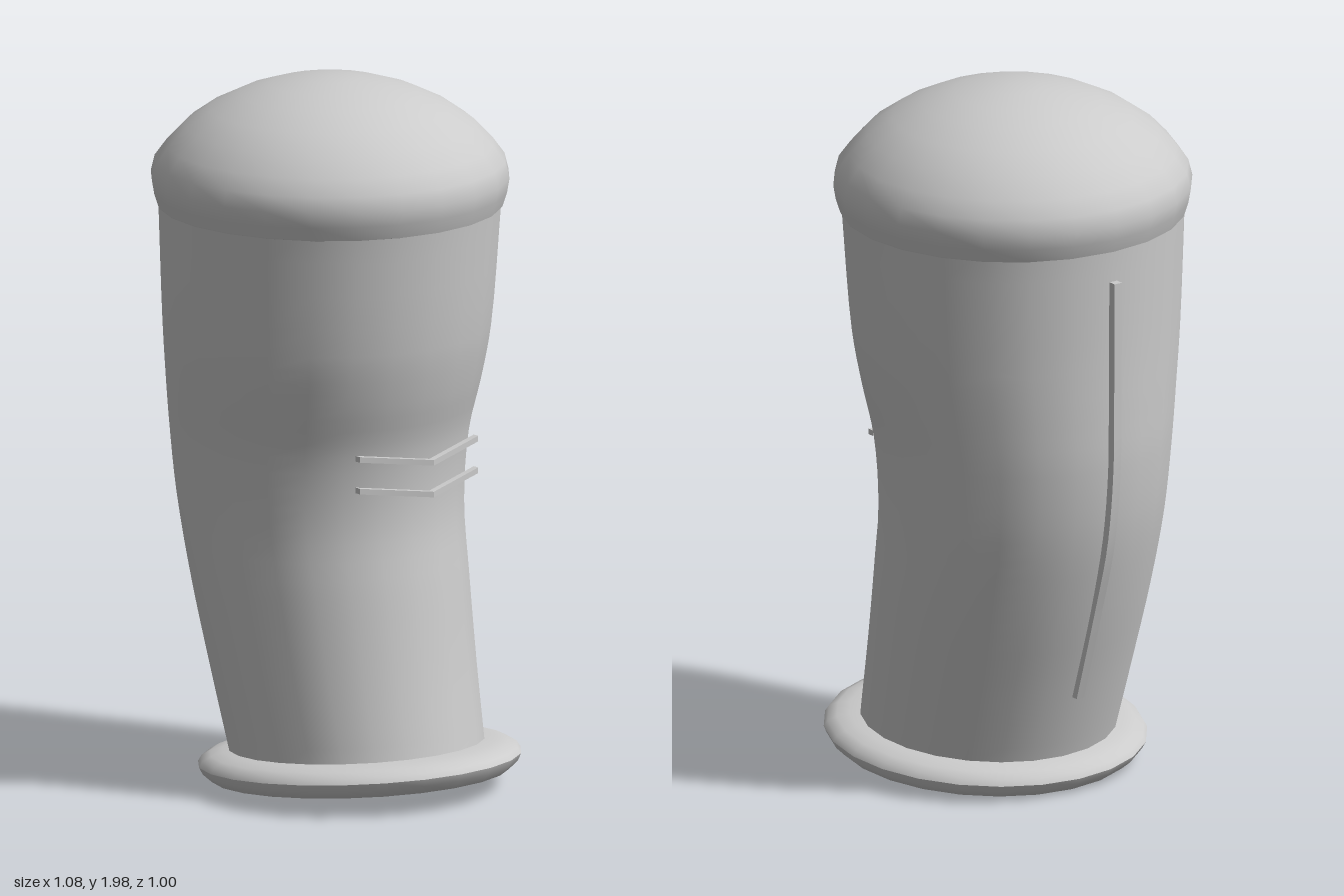
import * as THREE from 'three';
import { toCreasedNormals } from 'three/addons/utils/BufferGeometryUtils.js';

const V = (x, y, z) => new THREE.Vector3(x, y, z);
const SIDES = 24;

// Joins equal-length rings of points into a skin, optionally closing both ends
function skin(rings, caps = false) {
  const n = rings[0].length;
  const last = (rings.length - 1) * n;
  const index = [];
  for (let r = 0; r < rings.length - 1; r++) {
    for (let i = 0; i < n; i++) {
      const a = r * n + i, c = r * n + (i + 1) % n;
      index.push(a, a + n, c, c, a + n, c + n);
    }
  }
  if (caps) {
    for (let i = 1; i < n - 1; i++) {
      index.push(0, i, i + 1, last, last + i + 1, last + i);
    }
  }
  const geometry = new THREE.BufferGeometry().setFromPoints(rings.flat());
  geometry.setIndex(index);
  geometry.computeVertexNormals();
  return geometry;
}

// Rectangular bar along a path; u and v are the half-width vectors of its section
function bar(path, u, v) {
  const corners = [[1, 1], [-1, 1], [-1, -1], [1, -1]];
  const rings = path.map(p => corners.map(([a, b]) =>
    p.clone().addScaledVector(u, a).addScaledVector(v, b)));
  return toCreasedNormals(skin(rings, true), 0.6);
}

// Round profile turned about the y axis, starting on the +x side
function turned(points) {
  const geometry = new THREE.LatheGeometry(points.map(p => new THREE.Vector2(...p)), SIDES);
  return toCreasedNormals(geometry, 0.75);
}

// Bent sleeve: each station gives left x, y and right x, y, and half-depth
function sleeveGeometry() {
  const stations = [
    [-0.275, 0.09, 0.435, 0.14, 0.355],
    [-0.35, 0.32, 0.39, 0.36, 0.37],
    [-0.43, 0.57, 0.35, 0.6, 0.385],
    [-0.488, 0.8, 0.322, 0.8, 0.396],
    [-0.512, 1.0, 0.334, 1.0, 0.412],
    [-0.515, 1.15, 0.374, 1.15, 0.435],
    [-0.515, 1.3, 0.404, 1.3, 0.455],
    [-0.52, 1.67, 0.437, 1.67, 0.478],
  ];
  const left = new THREE.CatmullRomCurve3(stations.map(s => V(s[0], s[1], s[4])));
  const right = new THREE.CatmullRomCurve3(stations.map(s => V(s[2], s[3], s[4])));
  const rings = [];
  for (let k = 0; k <= 28; k++) {
    const l = left.getPoint(k / 28), r = right.getPoint(k / 28);
    rings.push(Array.from({ length: SIDES }, (_, i) => {
      const a = i / SIDES * Math.PI * 2;
      const p = l.clone().lerp(r, 0.5 + 0.5 * Math.cos(a));
      p.z = l.z * Math.sin(a);
      return p;
    }));
  }
  return skin(rings);
}

export function createModel() {
  const model = new THREE.Group();
  const material = new THREE.MeshStandardMaterial({ color: 0xcccccc });
  const add = (name, geometry) => {
    const mesh = new THREE.Mesh(geometry, material);
    mesh.name = name;
    model.add(mesh);
    return mesh;
  };

  add('sleeve', sleeveGeometry());

  // Domed cap with a rolled lower rim
  const cap = add('domedCap', turned([
    [0.46, 1.635], [0.479, 1.64], [0.492, 1.68], [0.499, 1.72], [0.488, 1.765],
    [0.455, 1.81], [0.405, 1.863], [0.335, 1.912], [0.25, 1.953], [0.165, 1.98],
    [0.08, 1.995], [0, 2],
  ]));
  cap.rotation.y = Math.PI / 2;
  cap.position.x = -0.04;

  // Tilted rounded flange with a flat underside
  const flange = add('baseFlange', turned([
    [0, -0.05], [0.31, -0.05], [0.38, -0.049], [0.415, -0.043], [0.44, -0.02],
    [0.45, 0], [0.44, 0.016], [0.415, 0.029], [0.38, 0.038], [0.34, 0.042],
  ]));
  flange.position.set(0.09, 0.09, 0);
  flange.rotation.z = 0.068;

  // Raised seam following the outer bend
  const seamCurve = new THREE.CatmullRomCurve3([
    V(-0.348, 0.295, 0), V(-0.428, 0.55, 0), V(-0.494, 0.78, 0), V(-0.522, 1, 0),
    V(-0.526, 1.2, 0), V(-0.528, 1.555, 0),
  ]);
  add('outerSeam', bar(seamCurve.getPoints(24), V(0.013, 0, 0), V(0, 0, 0.0125)));

  // Two V-shaped crease bars on the inner bend
  [0, -0.09].forEach((dy, i) => {
    const path = [V(0.342, 1.01 + dy, -0.21), V(0.407, 0.983 + dy, 0), V(0.342, 1.01 + dy, 0.21)];
    add(i ? 'lowerCrease' : 'upperCrease', bar(path, V(0.01, 0, 0), V(0, -0.008, 0)));
  });

  return model;
}
